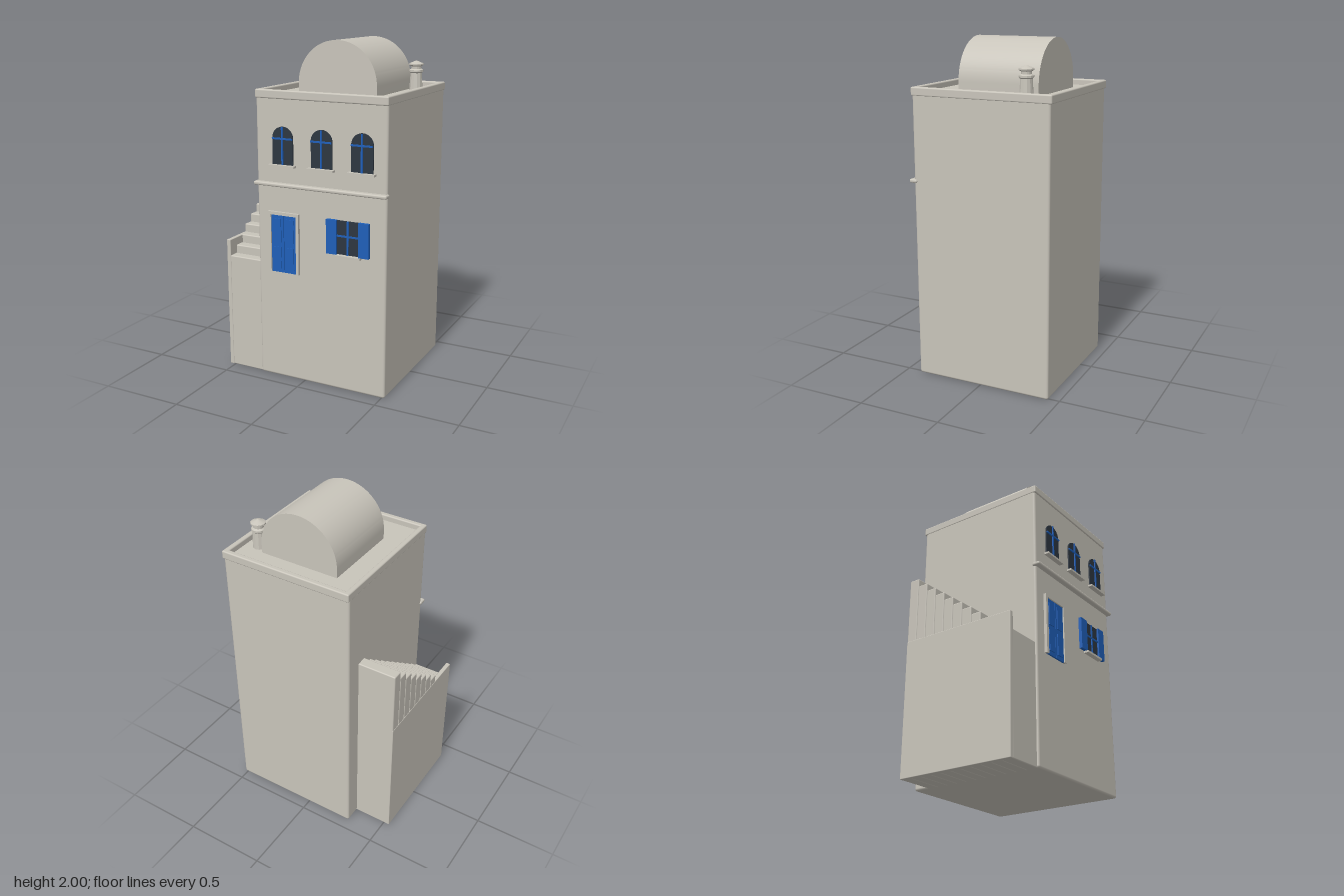
import * as THREE from 'three';
import { toCreasedNormals } from 'three/addons/utils/BufferGeometryUtils.js';
import { RoundedBoxGeometry } from 'three/addons/geometries/RoundedBoxGeometry.js';

export function createModel() {
  const house = new THREE.Group();
  house.name = 'townHouse';

  const mat = (name, color) => {
    const m = new THREE.MeshStandardMaterial({ color });
    m.name = name;
    return m;
  };
  const plaster = mat('plaster', 0xc8c4ba);
  const blue = mat('bluePaint', 0x1f5fb8);
  const glass = mat('darkGlass', 0x2d3640);

  const add = (name, geometry, material, parent = house) => {
    const mesh = new THREE.Mesh(geometry, material);
    mesh.name = name;
    parent.add(mesh);
    return mesh;
  };
  // Box given by its limits on each axis; a radius rounds its edges
  const box = (name, material, [x0, x1], [y0, y1], [z0, z1], radius = 0, parent = house) => {
    const size = [x1 - x0, y1 - y0, z1 - z0];
    const geometry = radius ? new RoundedBoxGeometry(...size, 2, radius) : new THREE.BoxGeometry(...size);
    geometry.translate((x0 + x1) / 2, (y0 + y1) / 2, (z0 + z1) / 2);
    return add(name, geometry, material, parent);
  };
  const group = (name) => {
    const g = new THREE.Group();
    g.name = name;
    house.add(g);
    return g;
  };
  // Rectangle topped by a half circle, extruded along z
  const archGeometry = (radius, straight, depth, segments) => {
    const shape = new THREE.Shape();
    shape.moveTo(-radius, 0);
    shape.lineTo(radius, 0);
    shape.lineTo(radius, straight);
    shape.absarc(0, straight, radius, 0, Math.PI, false);
    shape.lineTo(-radius, 0);
    const geometry = new THREE.ExtrudeGeometry(shape, { depth, bevelEnabled: false, curveSegments: segments });
    return toCreasedNormals(geometry, 0.5);
  };

  // Main block
  const WALL = 0.41;
  box('walls', plaster, [-0.3, 0.52], [0, 1.695], [-0.435, WALL], 0.014);

  // Roof parapet
  const parapet = group('parapet');
  const rim = [1.68, 1.73];
  box('parapetFront', plaster, [-0.302, 0.523], rim, [0.385, 0.417], 0.008, parapet);
  box('parapetBack', plaster, [-0.302, 0.523], rim, [-0.445, -0.413], 0.008, parapet);
  box('parapetRight', plaster, [-0.302, -0.27], rim, [-0.44, 0.412], 0.008, parapet);
  box('parapetLeft', plaster, [0.491, 0.523], rim, [-0.44, 0.412], 0.008, parapet);

  // Barrel vault on the roof
  add('roofVault', archGeometry(0.247, 0.063, 0.495, 40), plaster).position.set(0.11, 1.69, -0.295);

  // Chimney with a collar and a conical cap
  const profile = [
    [0.04, 1.69], [0.034, 1.795], [0.042, 1.802], [0.042, 1.813], [0.03, 1.82],
    [0.03, 1.834], [0.044, 1.842], [0.044, 1.85], [0, 1.868],
  ].map(([r, y]) => new THREE.Vector2(r, y));
  const chimney = toCreasedNormals(new THREE.LatheGeometry(profile, 12), 0.4);
  add('chimney', chimney, plaster).position.set(0.41, 0, -0.247);

  // Moulding between the floors
  box('stringCourse', plaster, [-0.31, 0.528], [1.18, 1.202], [0.39, 0.44], 0.009);

  // Arched upper windows
  for (const x of [-0.124, 0.124, 0.373]) {
    const window = group('archedWindow');
    window.position.x = x;
    add('windowGlass', archGeometry(0.066, 0.155, 0.01, 16), glass, window).position.set(0, 1.305, WALL - 0.002);
    box('verticalBar', blue, [-0.005, 0.005], [1.305, 1.524], [WALL, 0.425], 0, window);
    box('horizontalBar', blue, [-0.065, 0.065], [1.453, 1.463], [WALL, 0.425], 0, window);
    box('windowSill', plaster, [-0.082, 0.082], [1.297, 1.309], [0.4, 0.44], 0, window);
  }

  // Double door with its surround
  const door = group('door');
  const doorY = [0.666, 1.012];
  box('frameRight', plaster, [-0.224, -0.204], [0.666, 1.03], [0.4, 0.428], 0, door);
  box('frameLeft', plaster, [-0.04, -0.022], [0.666, 1.03], [0.4, 0.428], 0, door);
  box('frameTop', plaster, [-0.204, -0.04], [1.012, 1.03], [0.4, 0.428], 0, door);
  box('doorGap', glass, [-0.204, -0.04], doorY, [0.405, 0.414], 0, door);
  for (const [x0, x1] of [[-0.204, -0.1235], [-0.1205, -0.04]]) {
    box('doorLeaf', blue, [x0, x1], doorY, [0.41, 0.42], 0, door);
    for (const y of [[0.69, 0.82], [0.85, 0.99]]) {
      box('doorPanel', blue, [x0 + 0.016, x1 - 0.016], y, [0.418, 0.425], 0, door);
    }
  }

  // Shuttered window
  const shuttered = group('shutteredWindow');
  box('windowGlass', glass, [0.222, 0.358], [0.83, 1.026], [0.408, 0.418], 0, shuttered);
  box('verticalBar', blue, [0.285, 0.295], [0.83, 1.026], [WALL, 0.424], 0, shuttered);
  box('horizontalBar', blue, [0.222, 0.358], [0.933, 0.943], [WALL, 0.424], 0, shuttered);
  box('shutterRight', blue, [0.157, 0.222], [0.828, 1.028], [0.405, 0.43], 0, shuttered);
  box('shutterLeft', blue, [0.358, 0.421], [0.828, 1.028], [0.405, 0.43], 0, shuttered);
  box('windowSill', plaster, [0.208, 0.372], [0.815, 0.828], [0.4, 0.44], 0, shuttered);

  // Outside stair: solid steps rising to the back, the lowest two behind a side wall
  const stair = group('outsideStair');
  const run = 0.0663;
  for (let i = 0; i < 11; i++) {
    const z = 0.398 - i * run;
    const outer = i < 2 ? -0.515 : -0.534;
    box('step', plaster, [outer, -0.285], [0, 0.71 + i * 0.0495], [z - run, z], 0.007, stair);
  }
  box('stairWall', plaster, [-0.536, -0.51], [0, 0.808], [-0.331, 0.4], 0.004, stair);

  return house;
}
